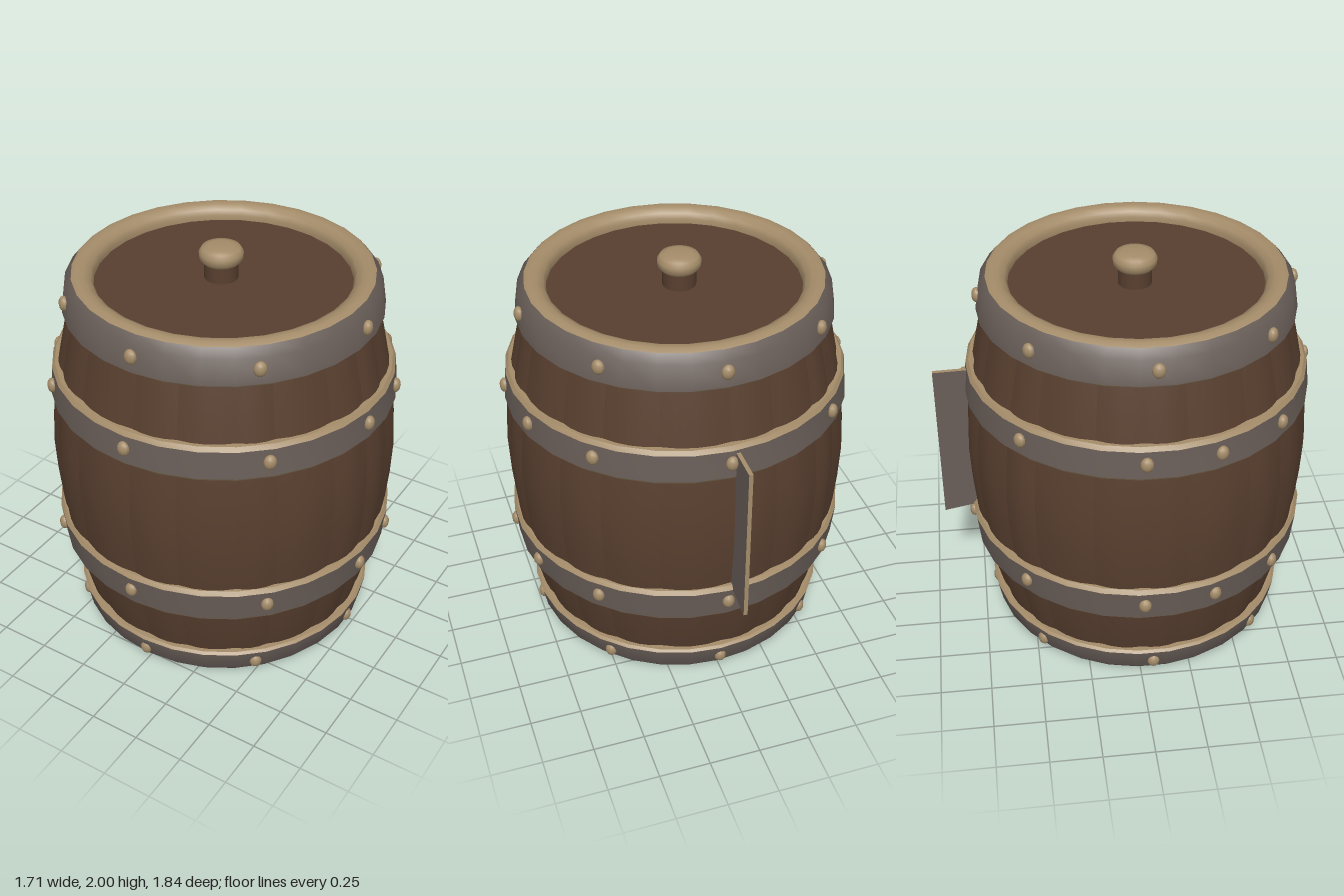
import * as THREE from 'three';
import { mergeGeometries, toCreasedNormals } from 'three/addons/utils/BufferGeometryUtils.js';

const SIDES = 30;

export function createModel() {
  const mat = (name, color) => {
    const m = new THREE.MeshStandardMaterial({ color });
    m.name = name;
    return m;
  };
  const wood = mat('dark wood', 0x583f2f);
  const iron = mat('grey iron', 0x695e58);
  const tan = mat('worn tan metal', 0xa48c69);

  const model = new THREE.Group();
  model.name = 'barrel';
  const barrel = new THREE.Group();
  barrel.name = 'cask';
  barrel.position.z = 0.06;
  model.add(barrel);

  const add = (name, geometry, material, parent = barrel) => {
    const mesh = new THREE.Mesh(geometry, material);
    mesh.name = name;
    parent.add(mesh);
    return mesh;
  };
  const vec = (points) => points.map(([r, y]) => new THREE.Vector2(r, y));
  const lathe = (points, crease = 0.6) =>
    toCreasedNormals(new THREE.LatheGeometry(vec(points), SIDES), crease);

  // Bulging staves of uneven width, each slightly rounded so a groove shows between them
  const profile = new THREE.SplineCurve(vec([
    [0.69, 0.06], [0.73, 0.18], [0.79, 0.45], [0.825, 0.68], [0.845, 1.0],
    [0.82, 1.3], [0.79, 1.47], [0.735, 1.72], [0.7, 1.86],
  ])).getPoints(16);
  const widths = [1.5, 1.0, 1.2, 0.8, 1.3, 1.0, 0.9, 1.4, 1.0, 1.2];
  const total = 2 * widths.reduce((a, b) => a + b, 0);
  const staves = [];
  let start = -0.4;
  for (const w of [...widths, ...widths]) {
    const angle = (w / total) * Math.PI * 2;
    const stave = new THREE.LatheGeometry(profile, 4, start, angle);
    const p = stave.attributes.position;
    for (let i = 0; i < p.count; i++) {
      const t = Math.floor(i / profile.length) / 2 - 1;
      const s = 1 - 0.014 * t * t;
      p.setXYZ(i, p.getX(i) * s, p.getY(i), p.getZ(i) * s);
    }
    stave.computeVertexNormals();
    staves.push(stave);
    start += angle;
  }
  add('staves', mergeGeometries(staves), wood);

  // Middle hoops: iron face with worn edges above and below
  const hoop = (name, y0, y1, r0, r1) => {
    add(name, lathe([[r0, y0 + 0.015], [r1, y1 - 0.02]]), iron);
    add(name + 'UpperEdge', lathe([[r1, y1 - 0.02], [r1 - 0.015, y1], [r1 - 0.08, y1]]), tan);
    add(name + 'LowerEdge', lathe([[r0 - 0.08, y0], [r0 - 0.012, y0], [r0, y0 + 0.015]]), tan);
  };
  hoop('upperHoop', 1.29, 1.46, 0.838, 0.825);
  hoop('lowerHoop', 0.45, 0.64, 0.825, 0.842);

  // End hoops, rounded rims and recessed heads, mirrored top and bottom
  const end = (name, isTop) => {
    const flip = (points) =>
      isTop ? points : points.map(([r, y]) => [r, 1.915 - y]).reverse();
    const inner = isTop ? 1.725 : 1.75;
    add(name + 'Hoop', lathe(flip([[0.757, inner + 0.012], [0.738, 1.86], [0.705, 1.9]])), iron);
    add(name + 'HoopEdge', lathe(flip([[0.68, inner], [0.745, inner], [0.757, inner + 0.012]])), tan);
    add(name + 'Rim', lathe(flip([
      [0.705, 1.9], [0.68, 1.912], [0.645, 1.908], [0.615, 1.89], [0.603, 1.865], [0.605, 1.83],
    ]), 1.2), tan);
    const head = add(name + 'Head', new THREE.CircleGeometry(0.62, SIDES), wood);
    head.rotation.x = isTop ? -Math.PI / 2 : Math.PI / 2;
    head.position.y = isTop ? 1.84 : 0.075;
  };
  end('top', true);
  end('bottom', false);

  // Rivets around each hoop
  const rivetGeometry = new THREE.SphereGeometry(1, 10, 8);
  const eight = [0, 44, 90, 136, 180, -136, -90, -44];
  const ten = [0, 46, 84, 108, 136, 180, -136, -94, -70, -44];
  const rivets = [[1.81, 0.748, eight], [1.38, 0.834, ten], [0.55, 0.836, ten], [0.09, 0.738, eight]];
  for (const [y, r, angles] of rivets) {
    for (const degrees of angles) {
      const a = THREE.MathUtils.degToRad(degrees);
      const rivet = add('rivet', rivetGeometry, tan);
      rivet.scale.set(0.031, 0.037, 0.024);
      rivet.position.set(Math.sin(a) * r, y, Math.cos(a) * r);
      rivet.rotation.y = a;
    }
  }

  // Knob on the top head
  const knob = new THREE.Group();
  knob.name = 'knob';
  knob.position.set(-0.02, 0, -0.01);
  barrel.add(knob);
  add('knobStem', new THREE.CylinderGeometry(0.08, 0.08, 0.1, 20, 1, true), wood, knob).position.y = 1.885;
  add('knobCap', lathe([
    [0, 1.92], [0.085, 1.92], [0.102, 1.94], [0.104, 1.97], [0.09, 1.992], [0.06, 2], [0, 2],
  ], 1), tan, knob);

  // Flat upright fin on the back
  const fin = new THREE.Shape(vec([[0.74, 0.62], [0.925, 0.585], [0.925, 1.42], [0.74, 1.425], [0.77, 1.2], [0.775, 0.9]]));
  const finGeometry = new THREE.ExtrudeGeometry(fin, { depth: 0.02, bevelEnabled: false });
  finGeometry.rotateY(Math.PI / 2);
  add('backFin', finGeometry, [iron, tan], model).position.x = -0.04;

  return model;
}
